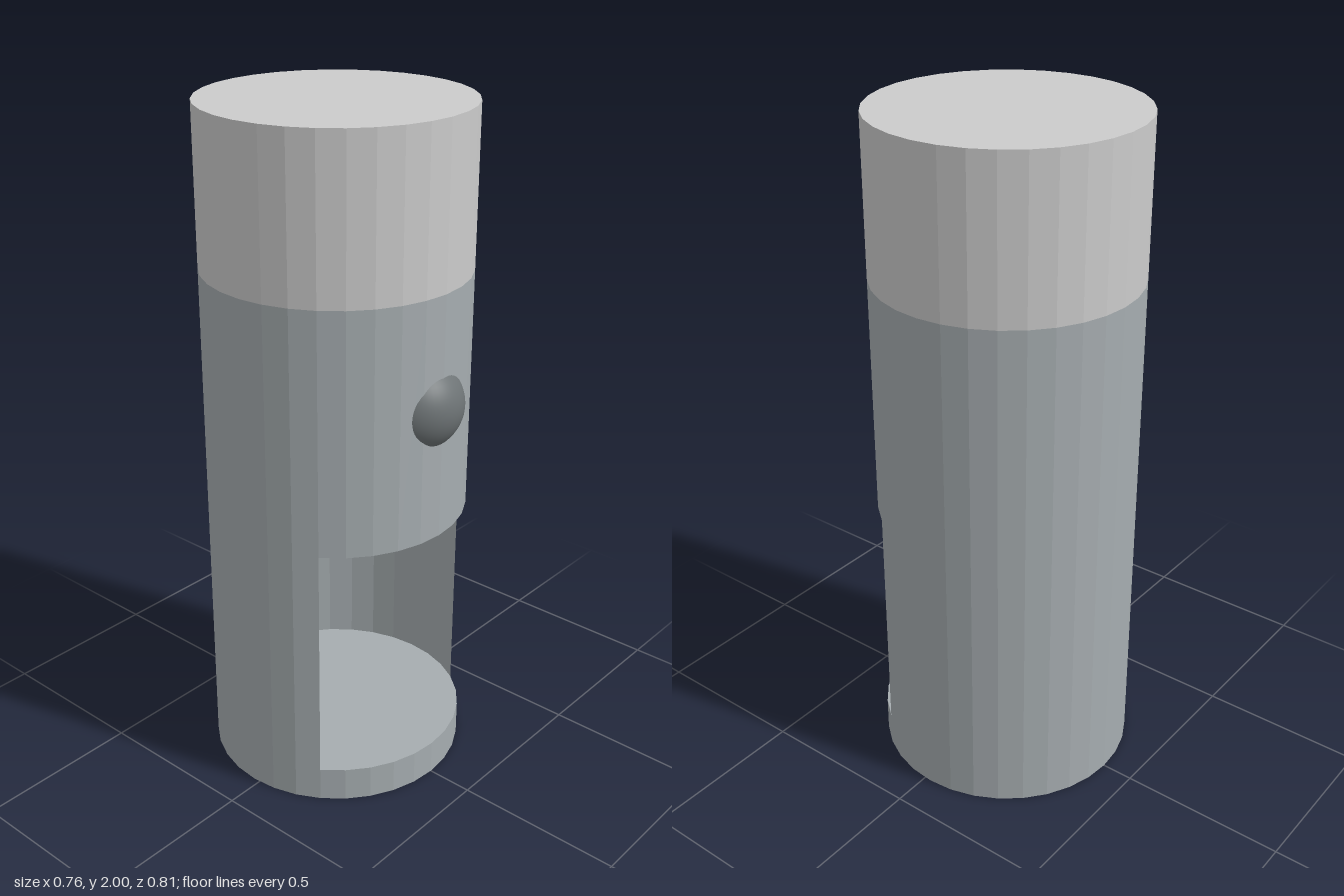
import * as THREE from 'three';

const RADIUS = 0.3825, SIDES = 32, AXIS_Z = -0.0215;
const STEP = (Math.PI * 2) / SIDES;

export function createModel() {
  const group = new THREE.Group();
  const paint = (color, extra = {}) => new THREE.MeshStandardMaterial({ color, ...extra });
  const bodyMat = paint(0xa6adb0, { flatShading: true });
  const wallMat = paint(0xa6adb0, { flatShading: true, side: THREE.DoubleSide });
  const lidMat = paint(0xcccccc, { flatShading: true });

  // Cylinder section between two heights; skip = facets left out each side of the front
  const section = (name, y0, y1, material, skip = 0) => {
    const geometry = new THREE.CylinderGeometry(RADIUS, RADIUS, y1 - y0, SIDES - 2 * skip, 1,
      skip > 0, skip * STEP, (SIDES - 2 * skip) * STEP);
    const mesh = new THREE.Mesh(geometry, material);
    mesh.name = name;
    mesh.position.set(0, (y0 + y1) / 2, AXIS_Z);
    group.add(mesh);
  };

  section('base', 0, 0.105, bodyMat);
  section('openingWall', 0.105, 0.825, wallMat, 5);
  section('upperBody', 0.825, 1.54, bodyMat);
  section('lid', 1.54, 2, lidMat);

  // Round button, mostly sunk into the body
  const button = new THREE.Mesh(new THREE.SphereGeometry(0.131, 48, 32), paint(0x6e7476));
  button.name = 'button';
  button.position.set(0, 1.207, 0.273);
  group.add(button);

  return group;
}
